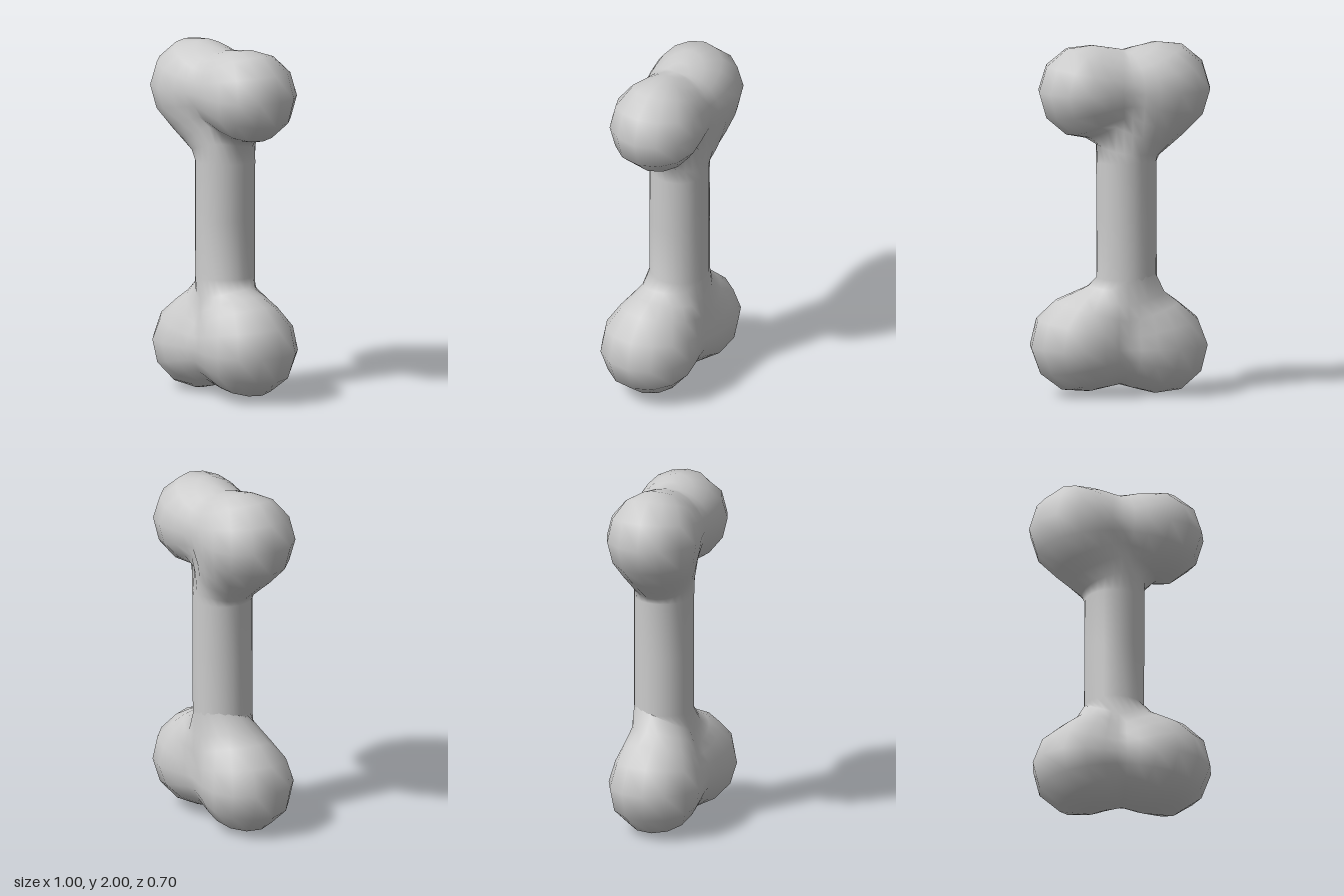
import * as THREE from 'three';
import { mergeVertices } from 'three/addons/utils/BufferGeometryUtils.js';

const V = (x, y, z) => new THREE.Vector3(x, y, z);

// Ball = centre and radius; a limb is a tapered capsule between two balls
const ball = (x, y, z, r) => ({ c: V(x, y, z), r });
const topRight = ball(-0.24, 1.735, -0.087, 0.268);
const topLeft = ball(0.207, 1.732, 0.035, 0.264);
const lowRight = ball(-0.228, 0.264, -0.08, 0.265);
const lowLeft = ball(0.225, 0.296, 0.072, 0.277);
const waistTop = ball(-0.015, 1.735, -0.027, 0.222);
const waistLow = ball(0, 0.28, 0, 0.217);
const shaftTop = ball(-0.02, 1.43, -0.045, 0.17);
const shaftLow = ball(-0.024, 0.53, -0.045, 0.169);

const limbs = [
  [shaftTop, shaftLow],
  [shaftTop, topRight],
  [shaftLow, lowRight],
  [shaftLow, lowLeft],
  [waistTop, topRight], [waistTop, topLeft],
  [waistLow, lowRight], [waistLow, lowLeft],
];

// Each limb filled with a row of balls
const balls = limbs.flatMap(([a, b]) => Array.from({ length: 33 }, (_, i) => ({
  c: a.c.clone().lerp(b.c, i / 32),
  r: THREE.MathUtils.lerp(a.r, b.r, i / 32),
})));

const distance = (p) => balls.reduce((d, s) => Math.min(d, p.distanceTo(s.c) - s.r), Infinity);

// Stations from top to bottom: ray origin and elevation in degrees
const fan = [90, 72, 54, 36, 18, 0, -18, -36, -50, -62];
const stations = [
  ...fan.map((e) => ({ o: waistTop.c, e })),
  ...[1.33, 1.0, 0.67].map((y) => ({ o: V(-0.022, y, -0.045), e: 0 })),
  ...fan.slice().reverse().map((e) => ({ o: waistLow.c, e: -e })),
];

// One skin over all the limbs, made by moving a sphere's vertices along the station rays
function boneGeometry() {
  const n = stations.length - 1;
  let geo = new THREE.SphereGeometry(1, 24, n);
  geo.deleteAttribute('uv');
  geo.deleteAttribute('normal');
  geo = mergeVertices(geo);
  const pos = geo.attributes.position;
  const p = V(0, 0, 0);
  for (let i = 0; i < pos.count; i++) {
    p.fromBufferAttribute(pos, i);
    const row = Math.round(Math.acos(THREE.MathUtils.clamp(p.y, -1, 1)) / Math.PI * n);
    const { o, e } = stations[row];
    const a = Math.atan2(p.z, p.x);
    const el = THREE.MathUtils.degToRad(e);
    const dir = V(Math.cos(el) * Math.cos(a), Math.sin(el), Math.cos(el) * Math.sin(a));
    // March inwards until the surface is met
    let t = 0.7;
    for (let s = 0; s < 60; s++) {
      const d = distance(p.copy(o).addScaledVector(dir, t));
      if (d < 1e-4) break;
      t -= d;
    }
    pos.setXYZ(i, p.x, p.y, p.z);
  }
  geo.computeVertexNormals();
  return geo;
}

export function createModel() {
  const group = new THREE.Group();
  group.name = 'bone';
  const mesh = new THREE.Mesh(boneGeometry(), new THREE.MeshStandardMaterial({ color: 0xcccccc }));
  mesh.name = 'boneShaftAndKnobs';
  group.add(mesh);
  return group;
}
